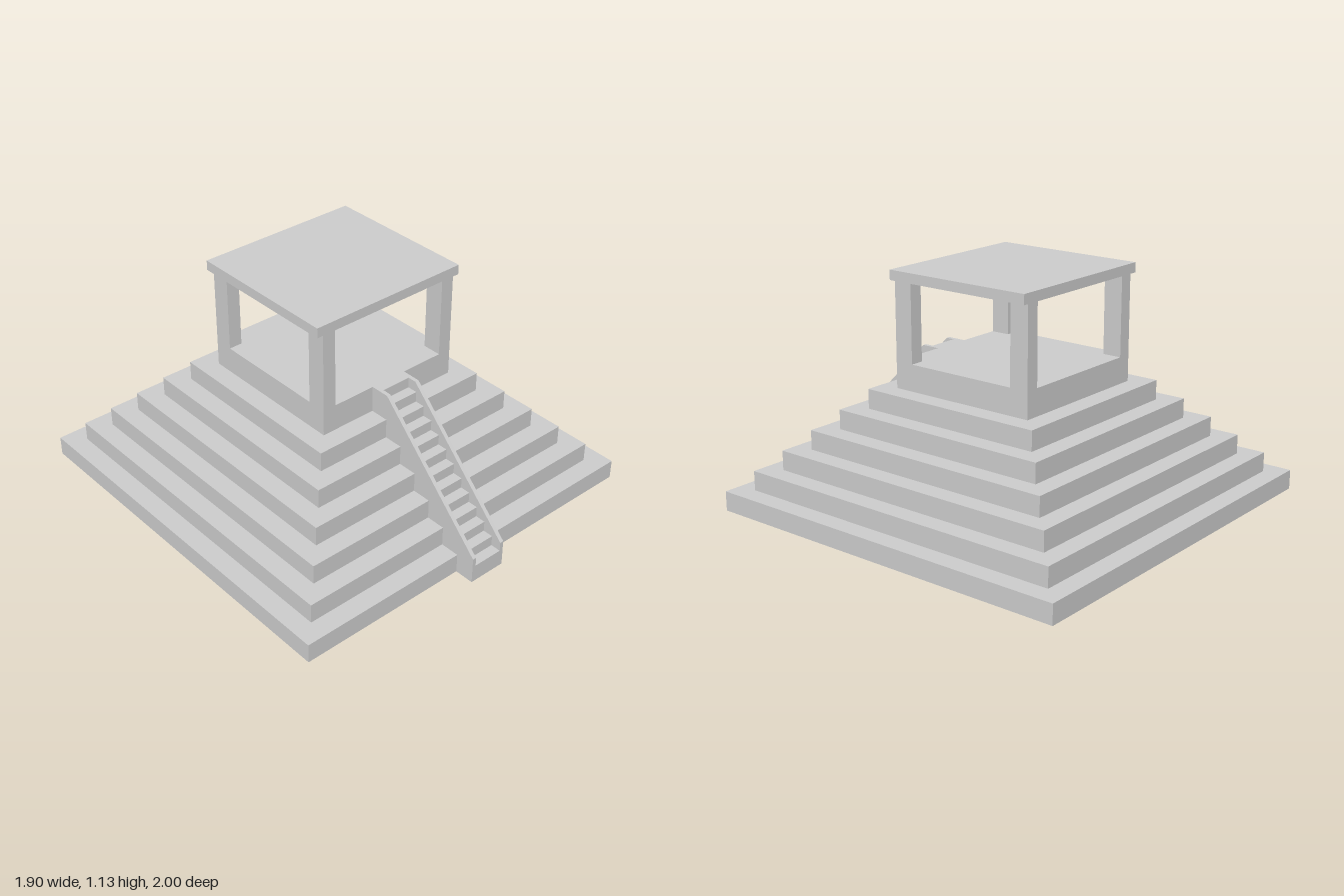
import * as THREE from 'three';

export function createModel() {
  const model = new THREE.Group();
  const material = new THREE.MeshStandardMaterial({ color: 0xcccccc, flatShading: true });

  const add = (name, geometry, parent = model) => {
    const mesh = new THREE.Mesh(geometry, material);
    mesh.name = name;
    parent.add(mesh);
    return mesh;
  };
  // Box standing on height y
  const block = (name, w, h, d, x, y, z, parent) =>
    add(name, new THREE.BoxGeometry(w, h, d), parent).position.set(x, y + h / 2, z);
  // Profile of [z, y] points extruded across x, from x0 to x0 + width
  const slab = (name, points, x0, width, parent) => {
    const shape = new THREE.Shape(points.map(([z, y]) => new THREE.Vector2(-z, y)));
    const geometry = new THREE.ExtrudeGeometry(shape, { depth: width, bevelEnabled: false });
    geometry.rotateY(Math.PI / 2);
    geometry.translate(x0, 0, 0);
    add(name, geometry, parent);
  };

  // Stepped pyramid
  const step = 0.0952, centreZ = -0.0476;
  const tiers = new THREE.Group();
  tiers.name = 'tiers';
  model.add(tiers);
  for (let i = 0; i < 6; i++) {
    const size = 1.905 - 2 * step * i;
    block('tier', size, step, size, 0, step * i, centreZ, tiers);
  }

  // Temple: plinth, four corner pillars and flat roof
  const temple = new THREE.Group();
  temple.name = 'temple';
  temple.position.z = -0.045;
  model.add(temple);
  block('plinth', 0.762, 0.129, 0.762, 0, 0.571, 0, temple);
  for (const sx of [-1, 1])
    for (const sz of [-1, 1])
      block('pillar', 0.067, 0.385, 0.095, sx * 0.3475, 0.7, sz * 0.3335, temple);
  block('roof', 0.826, 0.048, 0.768, 0, 1.085, -0.002, temple);

  // Staircase running up the front, between two side walls
  const stairs = new THREE.Group();
  stairs.name = 'staircase';
  model.add(stairs);
  const front = 1, back = 0.336, count = 13, firstRise = 0.085;
  const run = (front - back) / count, rise = (0.7 - firstRise) / (count - 1);
  const profile = [[back, 0], [front, 0]];
  for (let i = 0; i < count; i++) {
    const y = firstRise + rise * i;
    profile.push([front - run * i, y], [front - run * (i + 1), y]);
  }
  slab('steps', profile, -0.076, 0.152, stairs);
  const wall = [[back, 0], [front, 0], [front, 0.13], [0.43, 0.7], [back, 0.7]];
  for (const x of [-0.095, 0.076]) slab('stairWall', wall, x, 0.019, stairs);

  return model;
}
